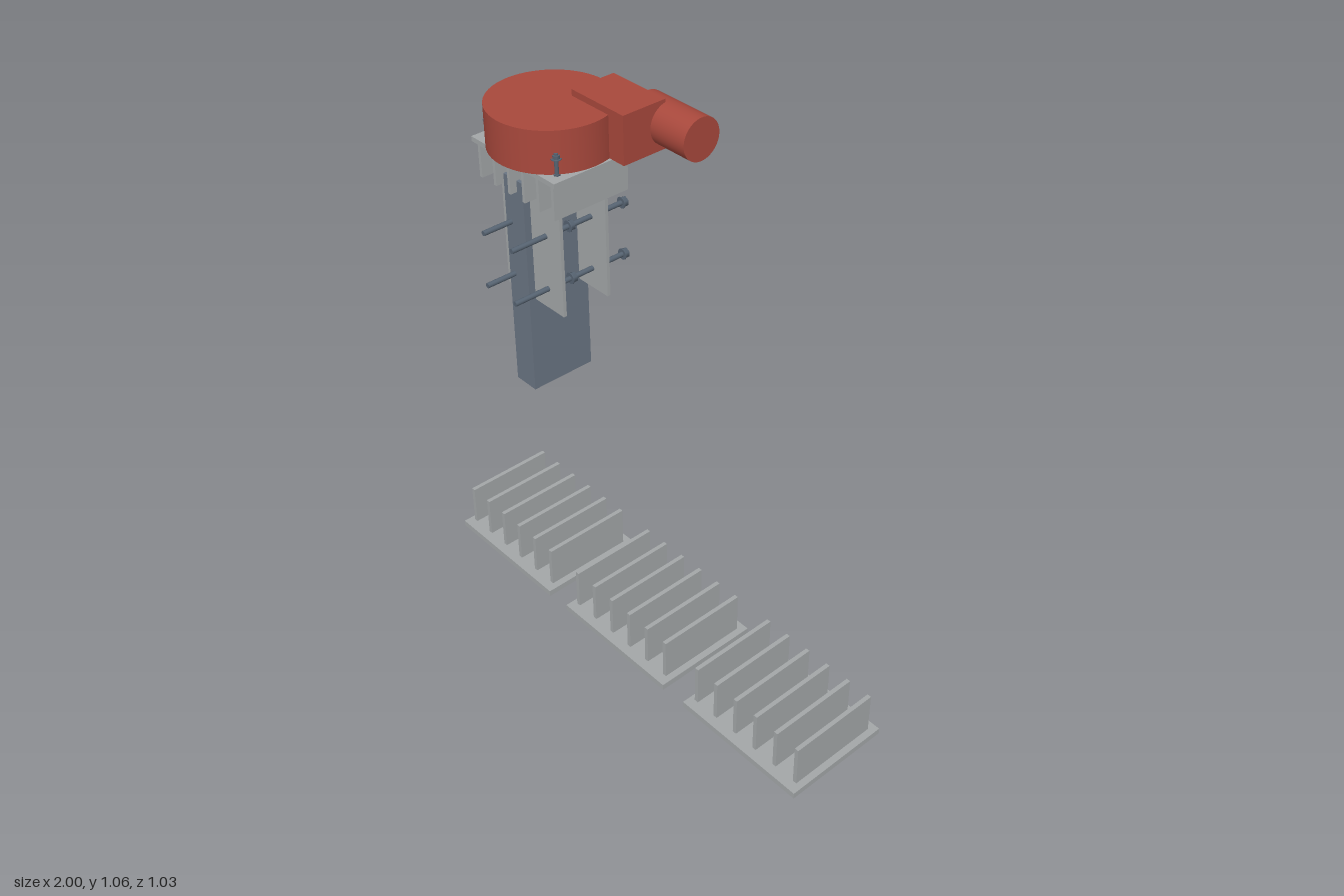
import * as THREE from 'three';

const material = (name, color) => {
  const m = new THREE.MeshStandardMaterial({ color });
  m.name = name;
  return m;
};

export function createModel() {
  const model = new THREE.Group();
  model.name = 'drivePostAndFinnedPlates';
  const red = material('redPaint', 0xa8483c);
  const grey = material('lightGreySteel', 0xa3a7a8);
  const slate = material('slateSteel', 0x6a7583);
  const bolt = material('boltSteel', 0x566371);

  const add = (parent, name, geometry, mat, x, y, z) => {
    const mesh = new THREE.Mesh(geometry, mat);
    mesh.name = name;
    mesh.position.set(x, y, z);
    parent.add(mesh);
    return mesh;
  };
  // box given by its two opposite corners
  const box = (parent, name, mat, [x0, x1], [y0, y1], [z0, z1]) =>
    add(parent, name, new THREE.BoxGeometry(x1 - x0, y1 - y0, z1 - z0), mat,
      (x0 + x1) / 2, (y0 + y1) / 2, (z0 + z1) / 2);
  const group = (name, parent = model) => {
    const g = new THREE.Group();
    g.name = name;
    parent.add(g);
    return g;
  };
  const fins = (parent, cx, ys, zs) => {
    for (let i = 0; i < 6; i++) {
      const x = cx + (i - 2.5) * 0.073;
      box(parent, 'fin', grey, [x - 0.006, x + 0.006], ys, zs);
    }
  };

  // three loose plates with upright fins
  for (const cx of [-0.185, 0.302, 0.794]) {
    const g = group('finnedPlate');
    box(g, 'plate', grey, [cx - 0.206, cx + 0.206], [0.005, 0.023], [0.197, 0.514]);
    fins(g, cx, [0.026, 0.147], [0.222, 0.488]);
  }

  const CX = -0.794, CZ = -0.195;

  // channel post, open towards -x
  const shape = new THREE.Shape();
  const t = 0.012, x0 = -0.893, x1 = -0.797, z0 = -0.317, z1 = -0.073;
  [[x0, z0], [x1, z0], [x1, z1], [x0, z1], [x0, z1 - t], [x1 - t, z1 - t], [x1 - t, z0 + t], [x0, z0 + t]]
    .forEach(([x, z], i) => (i ? shape.lineTo(x, -z) : shape.moveTo(x, -z)));
  const post = new THREE.ExtrudeGeometry(shape, { depth: 0.79, bevelEnabled: false });
  post.rotateX(-Math.PI / 2);
  add(model, 'channelPost', post, slate, 0, 0, 0);

  // cap plate with hanging fins and two long clamp plates
  const cap = group('capBracket');
  box(cap, 'capPlate', grey, [CX - 0.206, CX + 0.206], [0.873, 0.89], [-0.352, -0.037]);
  fins(cap, CX - 0.002, [0.75, 0.871], [-0.341, -0.048]);
  for (const z of [-0.104, -0.287])
    box(cap, 'clampPlate', grey, [-0.94, -0.651], [0.355, 0.87], [z - 0.006, z + 0.006]);

  // long through bolts with washers and hex nuts
  const along = (parent, name, r, len, sides, x, y, z) => {
    const g = new THREE.CylinderGeometry(r, r, len, sides);
    g.rotateX(Math.PI / 2);
    return add(parent, name, g, bolt, x, y, z);
  };
  for (const x of [-0.869, -0.725]) for (const y of [0.625, 0.43]) {
    const g = group('throughBolt');
    along(g, 'rod', 0.009, 0.46, 16, x, y, -0.193);
    along(g, 'hexHead', 0.018, 0.016, 6, x, y, -0.419);
    along(g, 'headWasher', 0.02, 0.003, 16, x, y, -0.409);
    along(g, 'hexNut', 0.018, 0.016, 6, x, y, -0.198);
    along(g, 'nutWasher', 0.02, 0.003, 16, x, y, -0.188);
  }

  // drum, gearbox and motor
  const drive = group('driveUnit');
  add(drive, 'drum', new THREE.CylinderGeometry(0.207, 0.207, 0.146, 64), red, CX, 0.966, CZ - 0.002);
  box(drive, 'gearbox', red, [-0.769, -0.529], [0.893, 1.061], [-0.428, -0.26]);
  const motor = new THREE.CylinderGeometry(0.073, 0.073, 0.244, 48);
  motor.rotateZ(Math.PI / 2);
  add(drive, 'motor', motor, red, -0.502, 0.978, -0.44);

  // four upright holding bolts at the drum edge
  for (const sx of [-1, 1]) for (const sz of [-1, 1]) {
    const g = group('holdingBolt', drive);
    const x = CX + sx * 0.168, z = CZ + sz * 0.116;
    add(g, 'stud', new THREE.CylinderGeometry(0.007, 0.007, 0.092, 12), bolt, x, 0.919, z);
    add(g, 'washer', new THREE.CylinderGeometry(0.017, 0.017, 0.003, 16), bolt, x, 0.946, z);
    add(g, 'nut', new THREE.CylinderGeometry(0.013, 0.013, 0.012, 6), bolt, x, 0.953, z);
    add(g, 'lowerHead', new THREE.CylinderGeometry(0.011, 0.011, 0.006, 6), bolt, x, 0.892, z);
  }
  return model;
}
